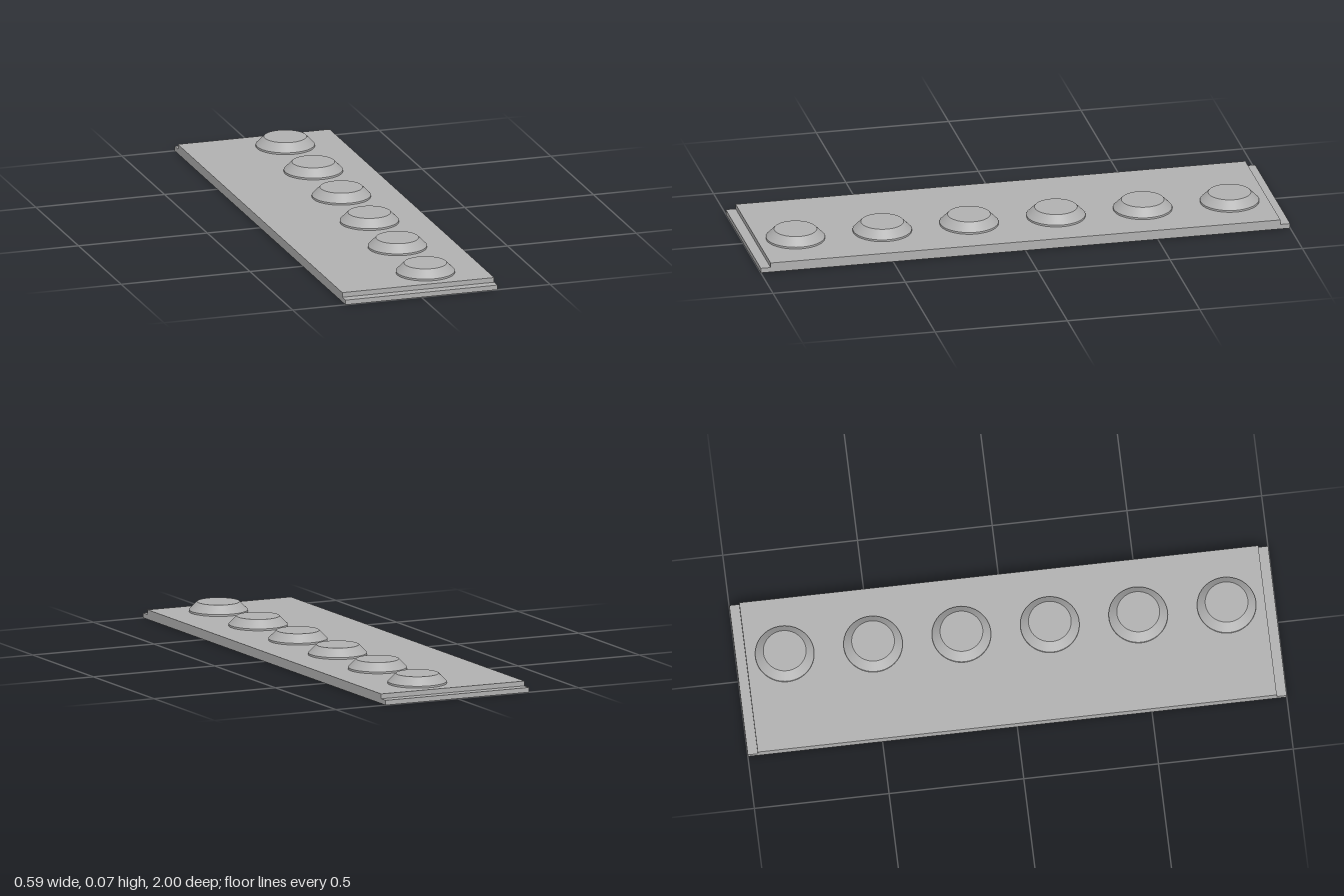
import * as THREE from 'three';

export function createModel() {
  const model = new THREE.Group();
  const grey = new THREE.MeshStandardMaterial({ color: 0xb0b0b0 });
  grey.name = 'grey';

  const add = (parent, name, geometry, x, y, z) => {
    const mesh = new THREE.Mesh(geometry, grey);
    mesh.name = name;
    mesh.position.set(x, y, z);
    parent.add(mesh);
  };

  // Stepped plank: stacked as one side profile, extruded across the width
  const width = 0.59, step = 0.018, top = 0.036, inner = 0.963;
  const profile = new THREE.Shape([
    [-1, 0], [1, 0], [1, step], [inner, step],
    [inner, top], [-inner, top], [-inner, step], [-1, step],
  ].map(([z, y]) => new THREE.Vector2(z, y)));
  const plank = new THREE.ExtrudeGeometry(profile, { depth: width, bevelEnabled: false });
  plank.translate(0, 0, -width / 2).rotateY(Math.PI / 2);
  add(model, 'plank', plank, 0, 0, 0);

  // Row of chamfered round studs: short rim with a tapered cap
  const rimHeight = 0.007, capHeight = 0.03, radius = 0.109;
  const rim = new THREE.CylinderGeometry(radius, radius, rimHeight, 64, 1, true);
  const cap = new THREE.CylinderGeometry(0.079, radius, capHeight, 64);
  for (let i = 0; i < 6; i++) {
    const stud = new THREE.Group();
    stud.name = `stud${i + 1}`;
    stud.position.set(0.075, top, (i - 2.5) * 0.328);
    add(stud, 'studRim', rim, 0, rimHeight / 2, 0);
    add(stud, 'studCap', cap, 0, rimHeight + capHeight / 2, 0);
    model.add(stud);
  }
  return model;
}
